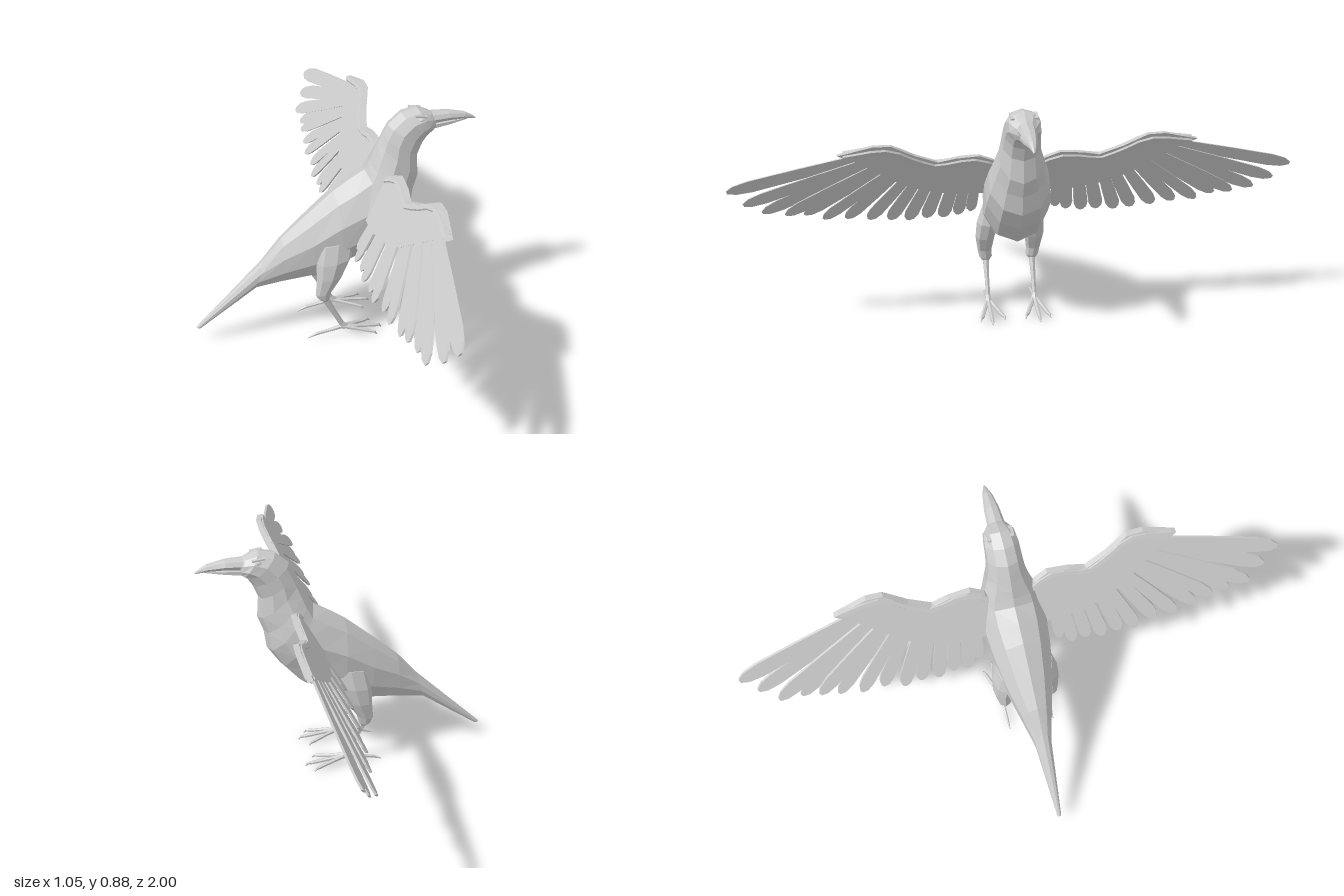
import * as THREE from 'three';

const mat = new THREE.MeshStandardMaterial({ color: 0xcccccc, flatShading: true, side: THREE.DoubleSide });

function add(parent, name, geometry) {
  const mesh = new THREE.Mesh(geometry, mat);
  mesh.name = name;
  parent.add(mesh);
  return mesh;
}

// Skin through oval sections: [topX, topY, bottomX, bottomY, halfWidth, centreZ]
function loft(sections, sides) {
  const pos = [];
  const rings = sections.map(([tx, ty, bx, by, w, z = 0]) =>
    Array.from({ length: sides }, (_, j) => {
      const a = (j / sides) * Math.PI * 2, c = Math.cos(a) / 2;
      return [(tx + bx) / 2 + c * (tx - bx), (ty + by) / 2 + c * (ty - by), z + Math.sin(a) * w];
    }));
  const tri = (...p) => p.forEach((q) => pos.push(...q));
  for (let i = 0; i < rings.length - 1; i++) {
    for (let j = 0; j < sides; j++) {
      const k = (j + 1) % sides, [p, q] = [rings[i], rings[i + 1]];
      tri(p[j], p[k], q[j]);
      tri(p[k], q[k], q[j]);
    }
  }
  const first = rings[0], last = rings[rings.length - 1];
  for (let j = 1; j < sides - 1; j++) {
    tri(first[0], first[j + 1], first[j]);
    tri(last[0], last[j], last[j + 1]);
  }
  const g = new THREE.BufferGeometry();
  g.setAttribute('position', new THREE.Float32BufferAttribute(pos, 3));
  g.computeVertexNormals();
  return g;
}

// Thin plate drawn as [span, height] and laid on the sloping wing plane
function wingPlate(points, side, depth, offset) {
  const shape = new THREE.Shape(points.map(([u, y]) => new THREE.Vector2(-u * side, y)));
  const g = new THREE.ExtrudeGeometry(shape, { depth, bevelEnabled: false });
  const p = g.attributes.position;
  for (let i = 0; i < p.count; i++) {
    const u = p.getX(i), y = p.getY(i), d = p.getZ(i);
    p.setXYZ(i, 0.03 + (y - 0.39) * 0.583 + d - depth / 2 + offset, y, -u);
  }
  g.computeVertexNormals();
  return g;
}

// Feather outline from root to a blunt tip
function featherOutline(root, tip, width) {
  const dx = tip[0] - root[0], dy = tip[1] - root[1], len = Math.hypot(dx, dy);
  const profile = [[0, 0.3], [0.55, 0.46], [0.85, 0.5], [0.95, 0.38], [1, 0.12]];
  const at = (t, w) => [root[0] + dx * t - (dy / len) * w * width, root[1] + dy * t + (dx / len) * w * width];
  return [...profile.map(([t, w]) => at(t, w)), ...profile.reverse().map(([t, w]) => at(t, -w))];
}

// Feathers from wing tip to body: root, tip, width
const feathers = [
  [[0.46, 0.725], [1.0, 0.572], 0.052], [[0.46, 0.71], [0.95, 0.51], 0.05],
  [[0.45, 0.70], [0.89, 0.463], 0.05], [[0.44, 0.69], [0.81, 0.45], 0.048],
  [[0.42, 0.68], [0.745, 0.443], 0.046], [[0.40, 0.67], [0.68, 0.42], 0.046],
  [[0.38, 0.66], [0.6, 0.412], 0.048], [[0.35, 0.65], [0.52, 0.405], 0.05],
  [[0.32, 0.64], [0.445, 0.392], 0.05], [[0.29, 0.63], [0.38, 0.39], 0.05],
  [[0.25, 0.63], [0.315, 0.392], 0.05], [[0.21, 0.63], [0.255, 0.395], 0.05],
  [[0.17, 0.63], [0.2, 0.4], 0.045], [[0.14, 0.63], [0.155, 0.42], 0.04],
];

function makeWing(side) {
  const wing = new THREE.Group();
  wing.name = side > 0 ? 'leftWing' : 'rightWing';
  feathers.forEach(([root, tip, w], i) =>
    add(wing, 'feather', wingPlate(featherOutline(root, tip, w), side, 0.008, i % 2 ? 0.004 : -0.004)));
  // Arm with its covert feathers
  add(wing, 'coverts', wingPlate([
    [0.06, 0.63], [0.09, 0.667], [0.14, 0.69], [0.22, 0.684], [0.28, 0.67], [0.36, 0.705], [0.44, 0.753], [0.5, 0.755],
    [0.62, 0.722], [0.56, 0.69], [0.48, 0.63], [0.4, 0.57], [0.3, 0.53], [0.2, 0.51], [0.11, 0.51], [0.06, 0.55],
  ], side, 0.02, 0));
  // Thick leading edge
  const edge = [[0.07, 0.635], [0.14, 0.672], [0.22, 0.668], [0.28, 0.655], [0.36, 0.688], [0.45, 0.735], [0.6, 0.718]];
  const path = new THREE.CatmullRomCurve3(edge.map(([u, y]) =>
    new THREE.Vector3(0.03 + (y - 0.39) * 0.583, y, u * side)));
  add(wing, 'leadingEdge', new THREE.TubeGeometry(path, 12, 0.016, 6));
  return wing;
}

function makeLeg(side) {
  const leg = new THREE.Group();
  leg.name = side > 0 ? 'leftLeg' : 'rightLeg';
  const z = 0.088 * side;
  add(leg, 'thigh', loft([
    [0.06, 0.42, -0.07, 0.40, 0.03, 0.075 * side], [0.05, 0.35, -0.085, 0.33, 0.042, 0.083 * side],
    [0.015, 0.28, -0.085, 0.27, 0.036, 0.092 * side], [-0.028, 0.215, -0.09, 0.20, 0.026, 0.092 * side],
    [-0.036, 0.18, -0.082, 0.18, 0.024, z], [-0.045, 0.163, -0.065, 0.168, 0.012, z],
  ], 8));
  add(leg, 'shank', loft([
    [-0.042, 0.18, -0.068, 0.17, 0.013, z], [-0.01, 0.11, -0.028, 0.10, 0.009, z],
    [0.018, 0.055, 0, 0.045, 0.009, z], [0.045, 0.032, 0.005, 0.026, 0.014, z],
  ], 6));
  // Three toes forward, one back
  [[0.135, -0.05], [0.168, 0], [0.14, 0.042]].forEach(([reach, spread]) => {
    const at = (t) => z + spread * t * side;
    add(leg, 'frontToe', loft([
      [0.005, 0.045, 0.012, 0.026, 0.01, z], [0.04 + reach * 0.2, 0.032, 0.04 + reach * 0.2, 0.018, 0.008, at(0.45)],
      [reach * 0.82, 0.023, reach * 0.82, 0.01, 0.008, at(0.8)],
      [reach - 0.01, 0.02, reach - 0.012, 0.009, 0.005, at(0.95)], [reach, 0.006, reach - 0.006, 0.004, 0.002, at(1)],
    ], 6));
  });
  add(leg, 'backToe', loft([
    [-0.125, 0.004, -0.122, 0, 0.002, z], [-0.09, 0.023, -0.085, 0.01, 0.006, z],
    [-0.04, 0.03, -0.04, 0.018, 0.007, z], [0.015, 0.045, 0.02, 0.026, 0.01, z],
  ], 6));
  return leg;
}

export function createModel() {
  const bird = new THREE.Group();
  bird.name = 'bird';

  // Tail, trunk, neck and head in one skin
  add(bird, 'body', loft([
    [-0.527, 0.066, -0.512, 0.06, 0.008], [-0.27, 0.32, -0.3, 0.21, 0.032], [-0.195, 0.41, -0.2, 0.225, 0.058],
    [-0.1, 0.495, -0.085, 0.238, 0.088], [0, 0.58, 0.02, 0.282, 0.11], [0.06, 0.62, 0.17, 0.34, 0.12],
    [0.115, 0.652, 0.24, 0.42, 0.12], [0.132, 0.685, 0.286, 0.49, 0.11], [0.147, 0.72, 0.295, 0.56, 0.092],
    [0.163, 0.755, 0.316, 0.62, 0.077], [0.179, 0.787, 0.31, 0.70, 0.068], [0.197, 0.822, 0.33, 0.75, 0.064],
    [0.245, 0.865, 0.345, 0.772, 0.062], [0.305, 0.878, 0.36, 0.785, 0.056], [0.35, 0.86, 0.368, 0.79, 0.038],
    [0.365, 0.852, 0.372, 0.792, 0.028],
  ], 10));

  // Beak halves
  add(bird, 'upperBeak', loft([
    [0.35, 0.856, 0.355, 0.81, 0.032], [0.42, 0.852, 0.42, 0.815, 0.027], [0.485, 0.838, 0.48, 0.813, 0.017],
    [0.51, 0.824, 0.5, 0.81, 0.01], [0.527, 0.811, 0.524, 0.807, 0.003],
  ], 8));
  add(bird, 'lowerBeak', loft([
    [0.35, 0.818, 0.355, 0.788, 0.028], [0.42, 0.818, 0.42, 0.797, 0.021], [0.495, 0.814, 0.492, 0.809, 0.006],
  ], 6));

  for (const side of [1, -1]) {
    const eye = add(bird, 'eye', new THREE.IcosahedronGeometry(1, 1));
    eye.scale.set(0.016, 0.01, 0.008);
    eye.position.set(0.312, 0.846, 0.045 * side);
    const brow = add(bird, 'brow', new THREE.BoxGeometry(0.045, 0.006, 0.014));
    brow.position.set(0.308, 0.86, 0.04 * side);
    brow.rotation.z = -0.15;
    bird.add(makeWing(side), makeLeg(side));
  }
  return bird;
}
